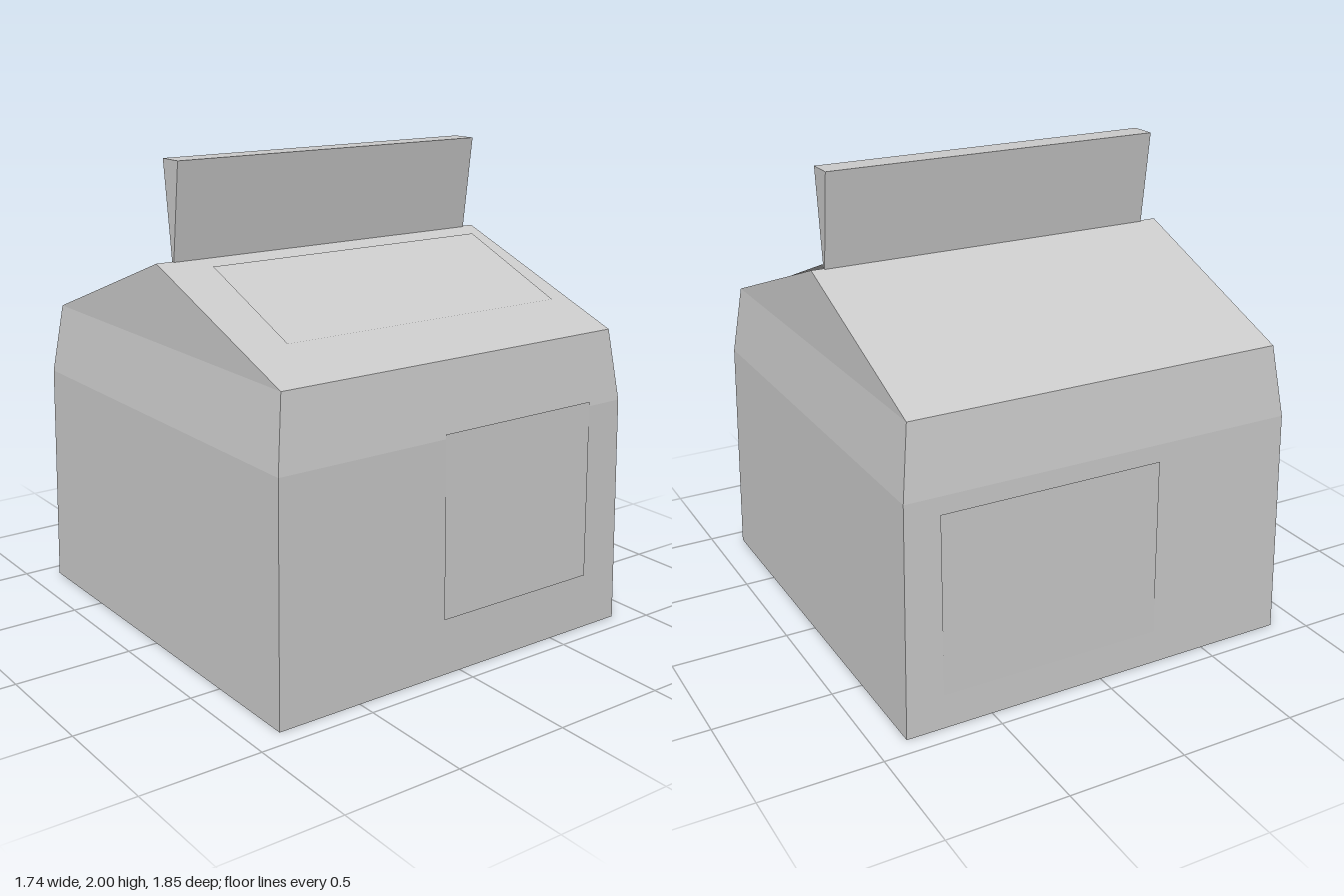
import * as THREE from 'three';

const material = new THREE.MeshStandardMaterial({ color: 0xcccccc, flatShading: true });
const panelMaterial = new THREE.MeshStandardMaterial({ color: 0xcccccc, side: THREE.DoubleSide });

// Four corners at a given height, counter-clockwise seen from below
const ring = (y, x0, x1, z) => [[x0, y, z], [x1, y, z], [x1, y, -z], [x0, y, -z]];

// Mesh from planar polygons, each fanned into triangles
function polyMesh(name, faces, mat = material) {
  const points = [];
  for (const f of faces)
    for (let i = 1; i < f.length - 1; i++) points.push(...f[0], ...f[i], ...f[i + 1]);
  const geometry = new THREE.BufferGeometry();
  geometry.setAttribute('position', new THREE.Float32BufferAttribute(points, 3));
  geometry.computeVertexNormals();
  const mesh = new THREE.Mesh(geometry, mat);
  mesh.name = name;
  return mesh;
}

// Side walls between stacked rings
function walls(rings) {
  const faces = [];
  for (let r = 0; r < rings.length - 1; r++)
    for (let i = 0; i < 4; i++) {
      const j = (i + 1) % 4;
      faces.push([rings[r][i], rings[r][j], rings[r + 1][j], rings[r + 1][i]]);
    }
  return faces;
}

export function createModel() {
  const group = new THREE.Group();
  group.name = 'carton';

  // Tapering box body with a closed base
  const rings = [
    ring(0, -0.87, 0.87, 0.92),
    ring(0.98, -0.855, 0.853, 0.904),
    ring(1.28, -0.815, 0.815, 0.865),
  ];
  group.add(polyMesh('body', [...walls(rings), [...rings[0]].reverse()]));

  // Gabled roof
  const [a, b, c, d] = rings[2];
  const left = [0.81, 1.6, 0], right = [-0.815, 1.6, 0];
  group.add(polyMesh('roof', [[a, b, left, right], [c, d, right, left], [b, c, left], [d, a, right]]));

  // Top fin, widening upward from the ridge
  const finBase = ring(1.595, -0.74, 0.755, 0.006);
  const finTop = ring(2, -0.74, 0.755, 0.057);
  group.add(polyMesh('topFin', [...walls([finBase, finTop]), finTop, [...finBase].reverse()]));

  // Thin label panels lying just over the walls and roof
  const panel = (name, x0, x1, [y0, z0], [y1, z1]) =>
    group.add(polyMesh(name, [[[x0, y0, z0], [x1, y0, z0], [x1, y1, z1], [x0, y1, z1]]], panelMaterial));
  panel('frontPanel', -0.09, 0.68, [0.24, 0.924], [1.0, 0.907]);
  panel('backPanel', 0.71, -0.25, [0.15, -0.921], [0.91, -0.912]);
  panel('roofPanel', -0.62, 0.725, [1.374, 0.62], [1.583, 0.105]);

  return group;
}
